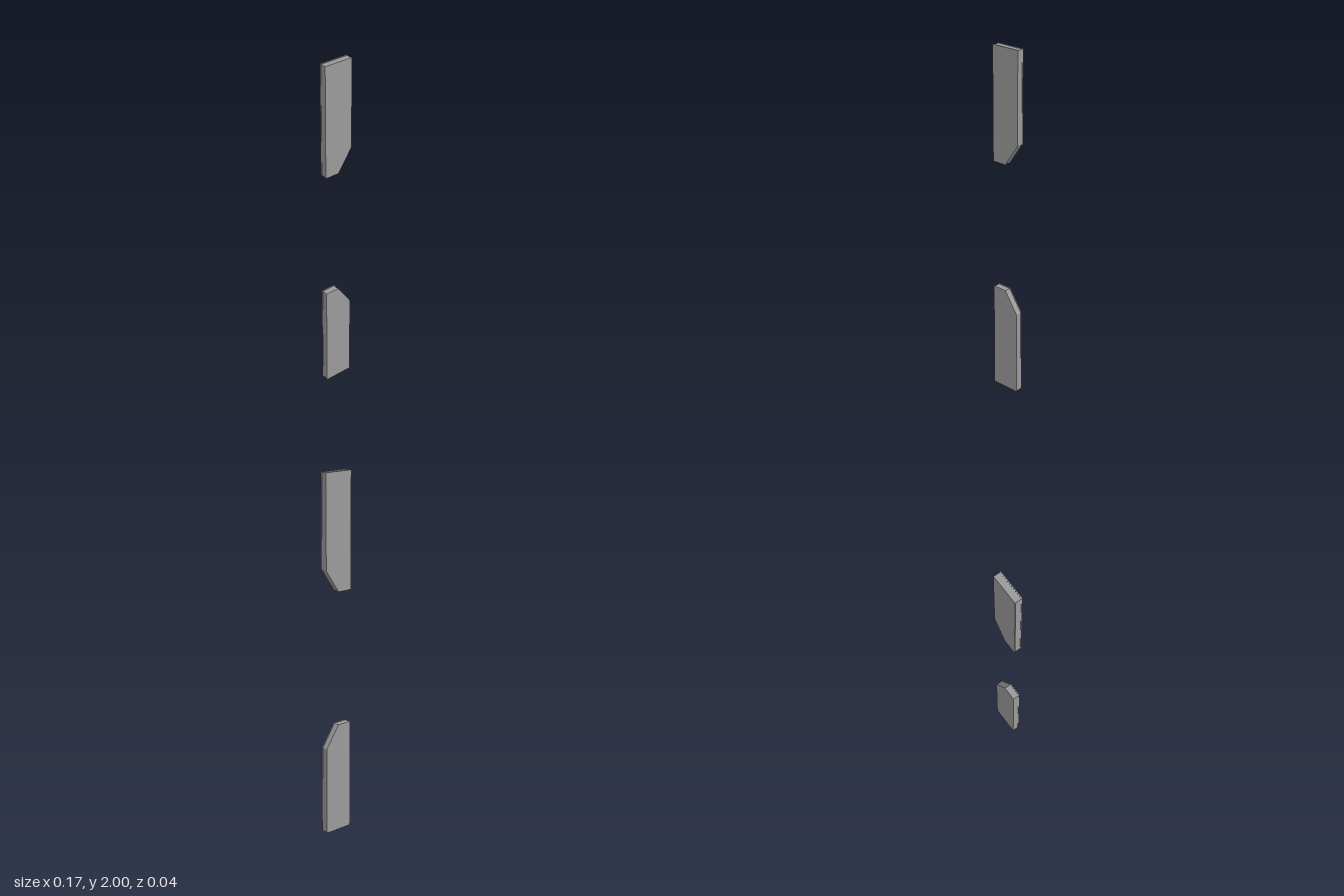
import * as THREE from 'three';

const W = 0.083, H = 0.628, CUT = 0.125; // half width, height, height of the cut corner

// Plate outline with one clipped corner, shrunk by d; flip mirrors it about y = 1
function outline(d, flip) {
  const pts = [
    [-W + d, d],
    [W - d, d],
    [W - d, H - CUT - 0.3 * d],
    [-0.54 * d, H - d],
    [-W + d, H - d],
  ];
  return new THREE.Shape(pts.map(([x, y]) => new THREE.Vector2(x, flip ? 2 - y : y)));
}

function slab(name, shape, z0, z1, material) {
  const geometry = new THREE.ExtrudeGeometry(shape, { depth: z1 - z0, bevelEnabled: false });
  geometry.translate(0, 0, z0);
  const mesh = new THREE.Mesh(geometry, material);
  mesh.name = name;
  return mesh;
}

export function createModel() {
  const model = new THREE.Group();
  model.name = 'platePair';
  const material = new THREE.MeshStandardMaterial({ color: 0x9a9a9a });

  for (const flip of [false, true]) {
    const plate = new THREE.Group();
    plate.name = flip ? 'upperPlate' : 'lowerPlate';
    // Slightly recessed core between two face sheets
    plate.add(
      slab('core', outline(0.002, flip), -0.015, 0.015, material),
      slab('frontSheet', outline(0, flip), 0.015, 0.021, material),
      slab('backSheet', outline(0, flip), -0.021, -0.015, material),
    );
    model.add(plate);
  }
  return model;
}
